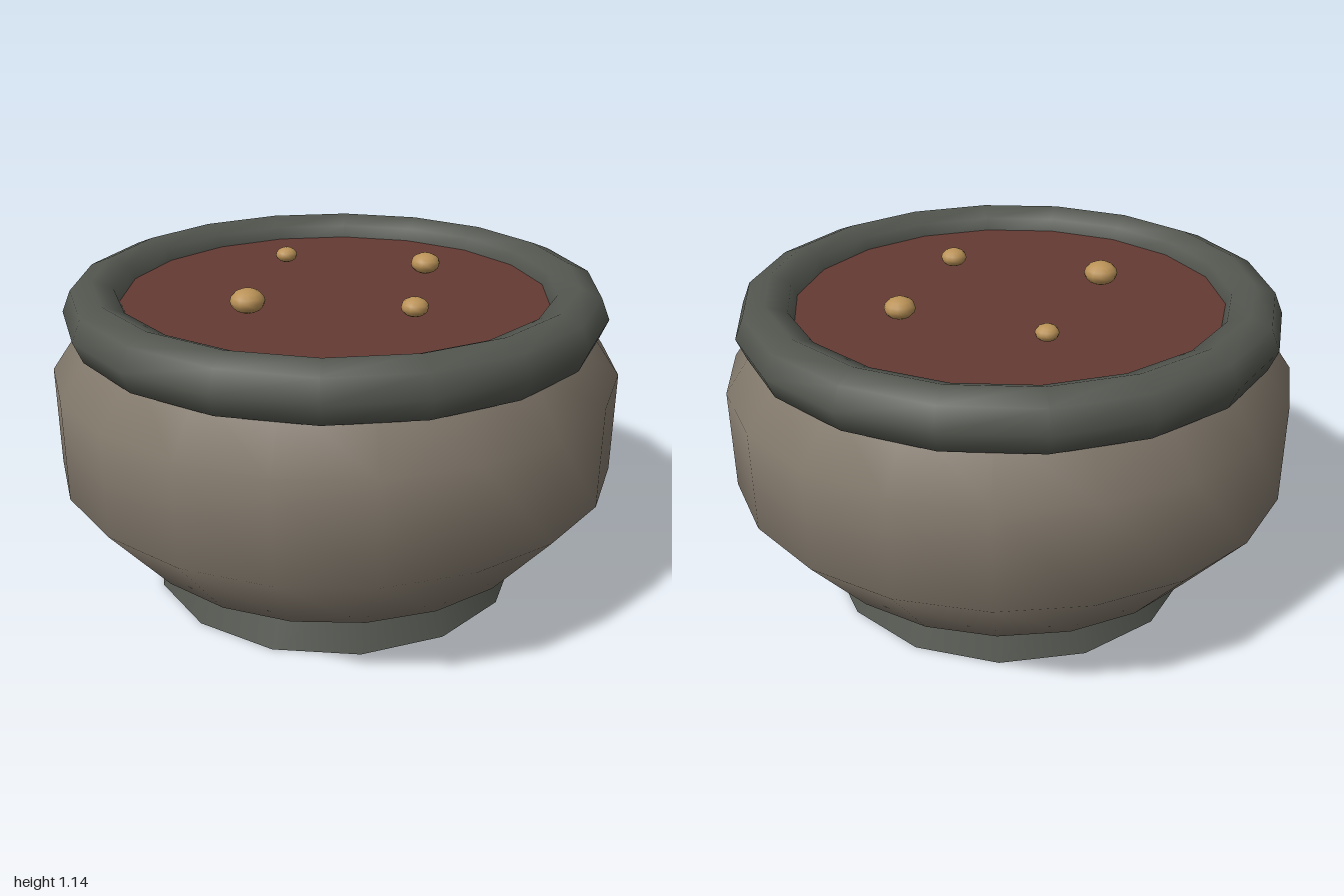
import * as THREE from 'three';

const material = (name, color) => {
  const m = new THREE.MeshStandardMaterial({ color });
  m.name = name;
  return m;
};

export function createModel() {
  const group = new THREE.Group();
  const clay = material('clay', 0x857b6e);
  const iron = material('darkIron', 0x53564f);
  const stew = material('redStew', 0x633a33);
  const gold = material('goldenBubble', 0xba9257);

  const add = (name, geometry, mat, x = 0, y = 0, z = 0) => {
    const mesh = new THREE.Mesh(geometry, mat);
    mesh.name = name;
    mesh.position.set(x, y, z);
    group.add(mesh);
    return mesh;
  };

  // Pot body: closed underside, wide belly, shoulder tucked into the rim
  const profile = [[0, 0.19], [0.775, 0.19], [1, 0.46], [1, 0.82], [0.86, 1.02]]
    .map(([r, y]) => new THREE.Vector2(r, y));
  add('bowl', new THREE.LatheGeometry(profile, 20), clay);

  // Flared foot
  add('foot', new THREE.CylinderGeometry(0.6, 0.68, 0.2, 14), iron, 0, 0.1, 0);

  // Thick rolled rim
  const rim = new THREE.TorusGeometry(0.845, 0.105, 8, 18);
  rim.rotateX(-Math.PI / 2);
  add('rim', rim, iron, 0, 1.03, 0);

  // Liquid surface, its edge buried in the rim
  add('stewSurface', new THREE.CylinderGeometry(0.8, 0.8, 0.04, 18), stew, 0, 1.04, 0);

  // Flattened bubbles: x, z, radius
  const bubbles = [[-0.32, 0.175, 0.06], [0.36, -0.19, 0.054], [0.225, 0.31, 0.047], [-0.14, -0.37, 0.04]];
  for (const [x, z, r] of bubbles) {
    add('bubble', new THREE.SphereGeometry(r, 12, 8), gold, x, 1.1, z).scale.y = 0.7;
  }

  return group;
}
